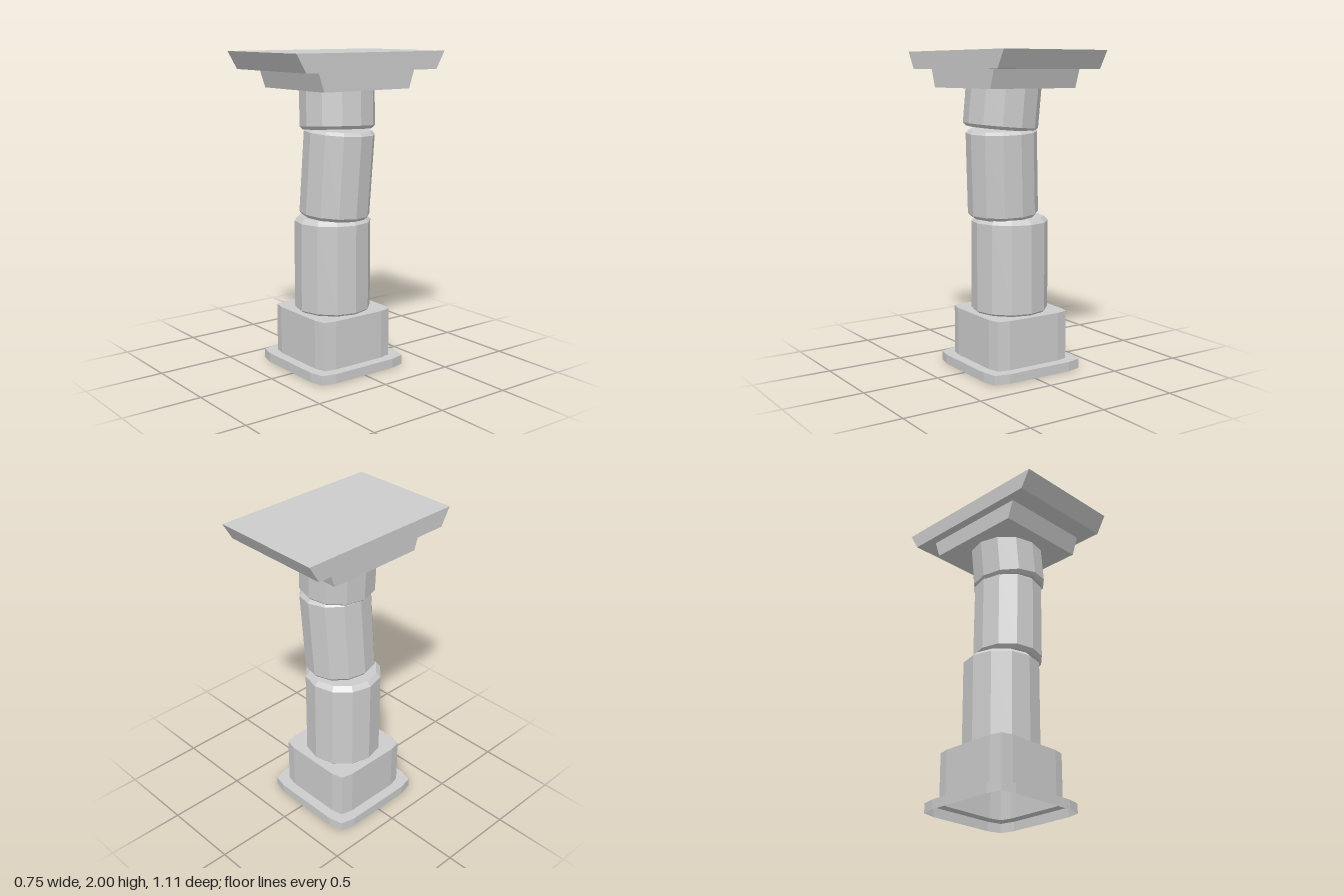
import * as THREE from 'three';

const stone = new THREE.MeshStandardMaterial({ color: 0xcccccc, flatShading: true });
const shell = new THREE.MeshStandardMaterial({ color: 0xcccccc, flatShading: true, side: THREE.DoubleSide });

function named(name, geometry, material = stone) {
  const mesh = new THREE.Mesh(geometry, material);
  mesh.name = name;
  return mesh;
}

// Stepped square base with softened corners, hollow and open underneath.
function base() {
  const profile = [[0.34, 0], [0.34, 0.06], [0.275, 0.06], [0.275, 0.37], [0, 0.37]]
    .map(([r, y]) => new THREE.Vector2(r, y));
  const geometry = new THREE.LatheGeometry(profile, 12);
  const pos = geometry.attributes.position;
  // three points at each of the four corners
  const corner = [[33.5, 1.2], [45, 1.322], [56.5, 1.2]];
  for (let i = 0; i < pos.count; i++) {
    const column = Math.floor(i / profile.length) % 12;
    const half = profile[i % profile.length].x;
    const [degrees, reach] = corner[column % 3];
    const a = THREE.MathUtils.degToRad(degrees + 90 * Math.floor(column / 3));
    pos.setX(i, half * reach * Math.sin(a));
    pos.setZ(i, half * reach * Math.cos(a));
  }
  geometry.computeVertexNormals();
  const mesh = named('base', geometry, shell);
  mesh.position.x = -0.035;
  return mesh;
}

// Twelve-sided column drum with bevelled rims, centred on its own height.
function drum(name, radius, height, bevelBottom, bevelTop, position, tiltX, tiltZ) {
  const h = height / 2;
  const profile = [
    [0, -h], [radius - bevelBottom, -h], [radius, -h + bevelBottom],
    [radius, h - bevelTop], [radius - bevelTop, h], [0, h],
  ].map(([r, y]) => new THREE.Vector2(r, y));
  const mesh = named(name, new THREE.LatheGeometry(profile, 12));
  mesh.position.set(...position);
  mesh.rotation.set(tiltX, 0, tiltZ);
  return mesh;
}

// Slab whose front and back faces flare outward toward the top.
function flaredSlab(name, x0, x1, y0, y1, zBottom, zTop) {
  const geometry = new THREE.BoxGeometry(x1 - x0, y1 - y0, 2);
  const pos = geometry.attributes.position;
  for (let i = 0; i < pos.count; i++) {
    pos.setZ(i, pos.getZ(i) * (pos.getY(i) > 0 ? zTop : zBottom));
  }
  geometry.computeVertexNormals();
  const mesh = named(name, geometry);
  mesh.position.set((x0 + x1) / 2, (y0 + y1) / 2, 0);
  return mesh;
}

export function createModel() {
  const column = new THREE.Group();
  column.name = 'column';
  column.add(
    base(),
    // Shaft of three slightly displaced drums
    drum('lowerDrum', 0.243, 0.6, 0.012, 0.028, [-0.035, 0.67, 0], 0, 0),
    drum('middleDrum', 0.222, 0.55, 0.022, 0.02, [0.018, 1.25, 0.005], -0.038, -0.05),
    drum('upperDrum', 0.235, 0.27, 0.02, 0.003, [0.019, 1.66, 0.004], -0.035, 0.075),
    // Capital
    flaredSlab('lowerCapital', -0.3, 0.315, 1.775, 1.89, 0.322, 0.362),
    flaredSlab('upperCapital', -0.355, 0.375, 1.89, 2, 0.49, 0.555),
  );
  return column;
}
